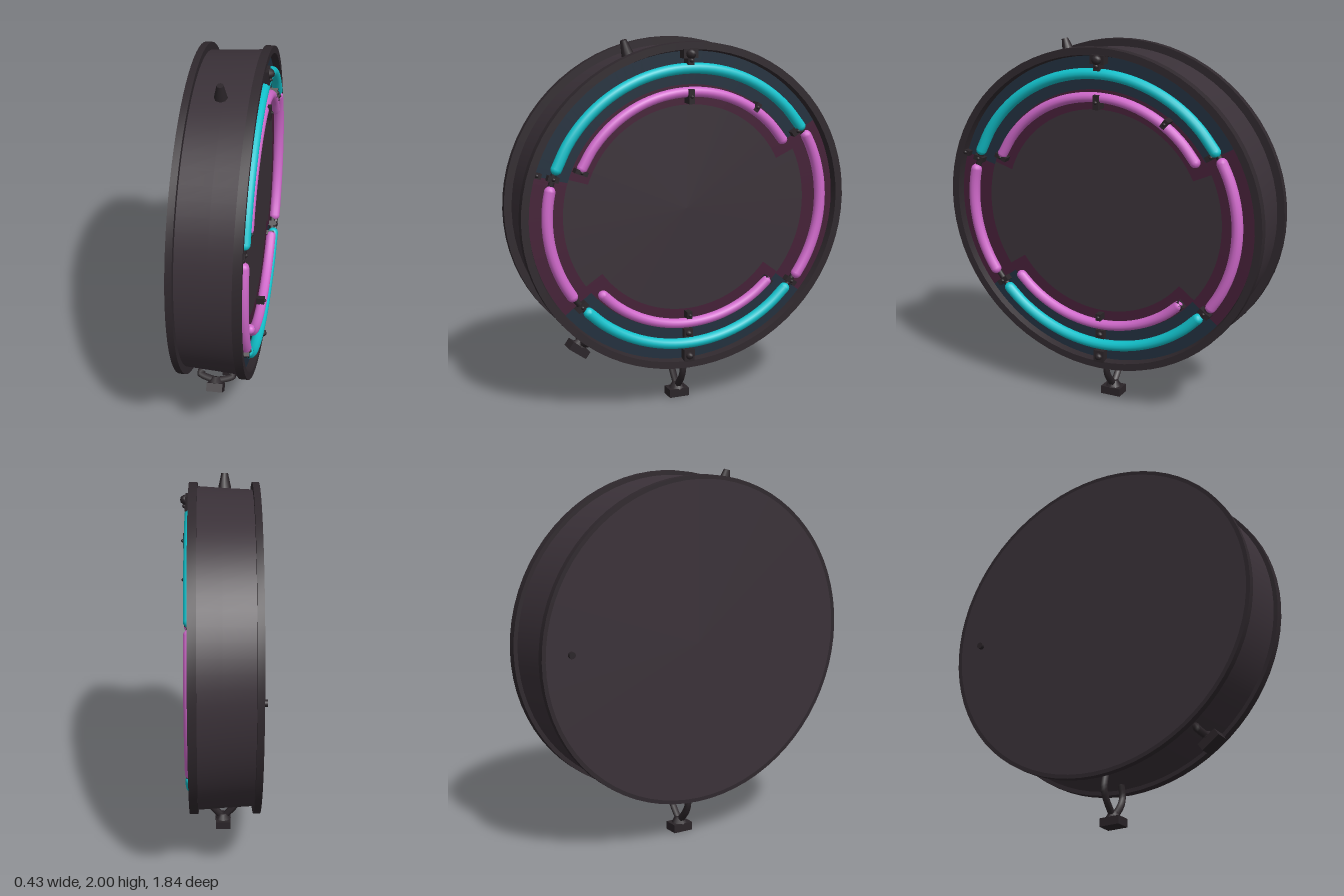
import * as THREE from 'three';
import { toCreasedNormals } from 'three/addons/utils/BufferGeometryUtils.js';

const mat = (name, color) => Object.assign(new THREE.MeshStandardMaterial({ color }), { name });
const rad = THREE.MathUtils.degToRad;

export function createModel() {
  const shellMat = mat('shell charcoal', 0x3a3138);
  const rimMat = mat('rim dark', 0x2f282d);
  const hardwareMat = mat('hardware black', 0x2a2428);
  const cyanMat = mat('cyan tube', 0x12c2cc);
  const pinkMat = mat('pink tube', 0xd069cb);
  const tealMat = mat('teal glow', 0x212f3d);
  const plumMat = mat('plum glow', 0x441f36);

  const model = new THREE.Group();
  model.name = 'neonDrumSign';

  const add = (parent, name, geometry, material, x = 0, y = 0, z = 0) => {
    const mesh = new THREE.Mesh(geometry, material);
    mesh.name = name;
    mesh.position.set(x, y, z);
    parent.add(mesh);
    return mesh;
  };

  // The drum is laid out facing local +z, then turned to face +x and squashed a little
  const drum = new THREE.Group();
  drum.name = 'drum';
  drum.rotation.y = Math.PI / 2;
  drum.scale.y = 0.96;
  drum.position.y = 1.105;
  model.add(drum);

  const lathe = (name, profile, material) => {
    const g = new THREE.LatheGeometry(profile.map(p => new THREE.Vector2(...p)), 72);
    g.rotateX(Math.PI / 2);
    return add(drum, name, toCreasedNormals(g, 0.6), material);
  };
  lathe('shell', [[0.88, -0.17], [0.89, 0.0], [0.9, 0.135]], shellMat);
  lathe('backPanel', [[0, -0.2], [0.9, -0.2]], shellMat);
  lathe('facePanel', [[0.89, 0.13], [0, 0.13]], shellMat);
  lathe('backRim', [[0.9, -0.2], [0.922, -0.2], [0.922, -0.165], [0.875, -0.165]], rimMat);
  lathe('frontRim', [[0.88, 0.125], [0.922, 0.125], [0.922, 0.17], [0.882, 0.17], [0.872, 0.13]], rimMat);

  // Tinted bands behind the tubes: inner radius, outer radius, start and end angle
  const bands = [
    [0.69, 0.872, 31, 163.5, tealMat], [0.69, 0.872, 218, 321, tealMat],
    [0.69, 0.872, 163.5, 218, plumMat], [0.69, 0.872, -39, 31, plumMat],
    [0.58, 0.69, 25, 162, plumMat], [0.58, 0.69, 214, 322, plumMat],
  ];
  bands.forEach(([r0, r1, a, b, m]) => add(drum, 'glowBand',
    new THREE.RingGeometry(r0, r1, 40, 1, rad(a), rad(b - a)), m, 0, 0, 0.133));

  // Curved neon tubes with rounded ends
  const at = (r, deg, z) => new THREE.Vector3(r * Math.cos(rad(deg)), r * Math.sin(rad(deg)), z);
  const arcTube = (name, r, a, b, thick, z, material) => {
    const pts = Array.from({ length: 13 }, (_, i) => at(r, a + (b - a) * i / 12, z));
    const curve = new THREE.CatmullRomCurve3(pts);
    add(drum, name, new THREE.TubeGeometry(curve, 40, thick, 12), material);
    [pts[0], pts[12]].forEach(p =>
      add(drum, name + 'End', new THREE.SphereGeometry(thick, 12, 8), material, p.x, p.y, p.z));
  };
  arcTube('topCyanTube', 0.78, 33, 159, 0.03, 0.16, cyanMat);
  arcTube('bottomCyanTube', 0.776, 223, 318, 0.03, 0.16, cyanMat);
  arcTube('rightPinkTube', 0.785, -34, 28, 0.03, 0.16, pinkMat);
  arcTube('leftPinkTube', 0.782, 168, 213, 0.03, 0.16, pinkMat);
  arcTube('topInnerPinkTube', 0.652, 33, 155, 0.028, 0.16, pinkMat);
  arcTube('bottomInnerPinkTube', 0.656, 222, 315, 0.028, 0.16, pinkMat);

  // Dark electrodes in the gaps between tubes
  [[28, 33], [159, 168], [213, 223], [318, 326]].forEach(([a, b]) =>
    arcTube('electrode', 0.78, a, b, 0.016, 0.15, hardwareMat));

  // Clips on the face: radius, angle, radial length, width, height of the top
  const clips = [
    [0.86, 90, 0.05, 0.08, 0.185], [0.825, 90, 0.05, 0.035, 0.19],
    [0.63, 90, 0.08, 0.03, 0.2], [0.61, 270, 0.04, 0.03, 0.18],
    [0.72, 270, 0.05, 0.05, 0.16], [0.85, 270, 0.07, 0.06, 0.175],
    [0.78, 219, 0.07, 0.03, 0.175], [0.78, 322, 0.07, 0.03, 0.175],
    [0.78, 163, 0.06, 0.03, 0.17], [0.87, 163, 0.05, 0.03, 0.165],
    [0.75, 32, 0.07, 0.03, 0.175], [0.65, 157, 0.07, 0.025, 0.18],
    [0.67, 55, 0.05, 0.03, 0.19], [0.66, 316, 0.05, 0.025, 0.175],
  ];
  clips.forEach(([r, a, len, w, top]) => {
    const p = at(r, a, (top + 0.128) / 2);
    const clip = add(drum, 'clip', new THREE.BoxGeometry(len, w, top - 0.128), hardwareMat, p.x, p.y, p.z);
    clip.rotation.z = rad(a);
    const k = at(r, a, top);
    add(drum, 'clipKnob', new THREE.SphereGeometry(w * 0.35, 8, 6), hardwareMat, k.x, k.y, k.z);
  });

  // Forked mounts: two bent arms meeting at a block, hanging along local -y
  const mount = (name, y, z, angle, armLength) => {
    const g = new THREE.Group();
    g.name = name;
    g.position.set(-0.01, y, z);
    g.rotation.x = angle;
    model.add(g);
    [-1, 1].forEach(s => {
      const path = new THREE.CatmullRomCurve3([[0.075, 0], [0.09, -0.4], [0.07, -0.65], [0.01, -1]]
        .map(([x, t]) => new THREE.Vector3(s * x, t * armLength, 0)));
      add(g, 'mountArm', new THREE.TubeGeometry(path, 12, 0.02, 6), hardwareMat);
    });
    add(g, 'mountCollar', new THREE.CylinderGeometry(0.025, 0.045, 0.035, 8), hardwareMat, 0, -armLength, 0);
    add(g, 'mountBlock', new THREE.BoxGeometry(0.085, 0.045, 0.115), hardwareMat, 0, -armLength - 0.0375, 0);
  };
  mount('bottomMount', 0.26, 0, 0, 0.2);
  mount('sideMount', 0.42, 0.53, -0.62, 0.05);

  // Small fittings on the outer wall and the back
  const lug = add(model, 'topLug', new THREE.CylinderGeometry(0.018, 0.035, 0.08, 8), hardwareMat, -0.02, 1.955, 0.285);
  lug.rotation.x = 0.3;
  const knob = add(model, 'backKnob', new THREE.CylinderGeometry(0.018, 0.018, 0.03, 10), hardwareMat, -0.205, 1.13, -0.76);
  knob.rotation.z = Math.PI / 2;

  return model;
}
